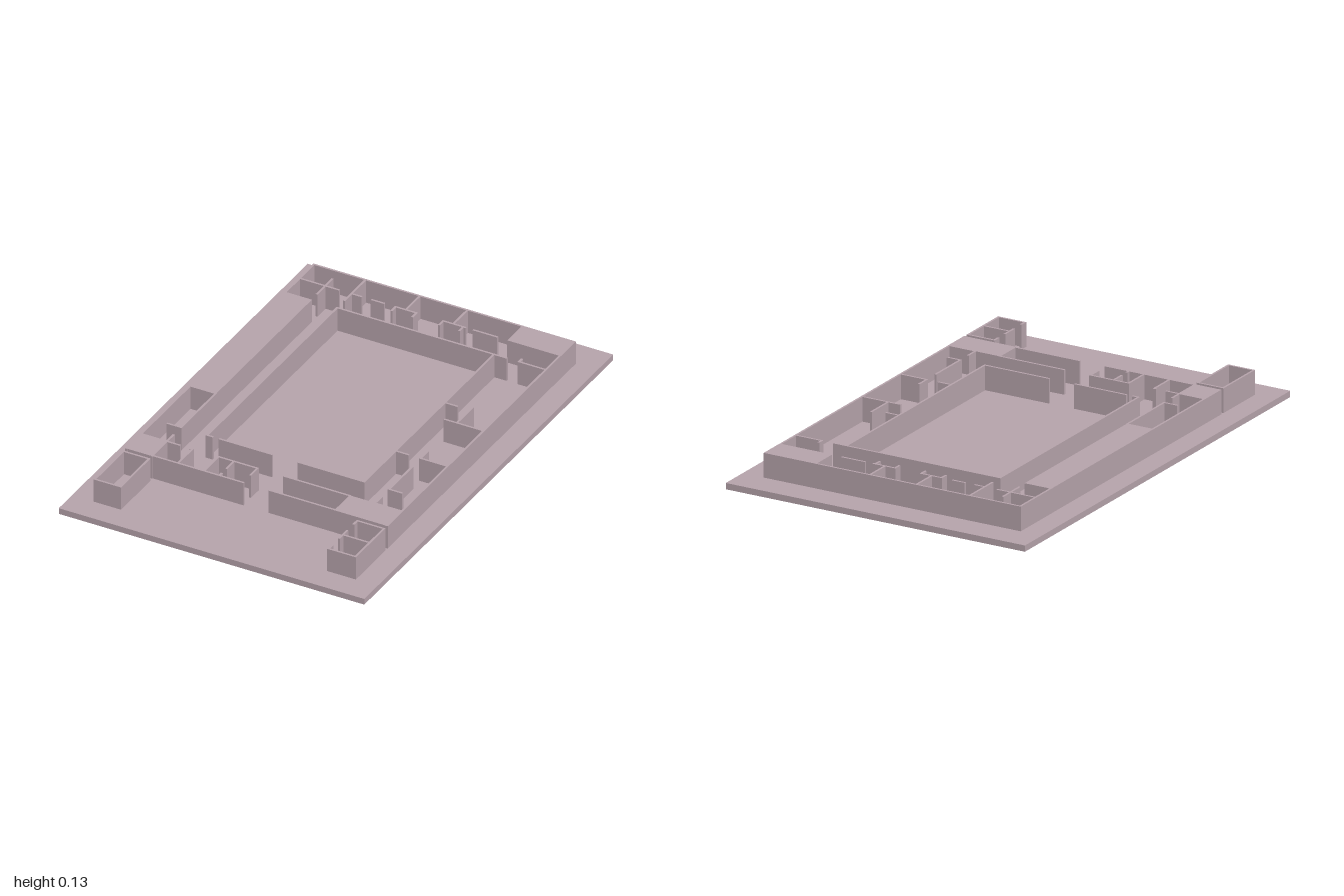
import * as THREE from 'three';

const BASE = 0.026, TOP = 0.128, T = 0.009;

export function createModel() {
  const model = new THREE.Group();
  model.name = 'courtyardBuilding';
  const material = new THREE.MeshStandardMaterial({ color: 0xb8a5ad, flatShading: true });

  // Upright box from plan bounds
  const block = (parent, name, x0, x1, z0, z1, y0 = BASE, y1 = TOP) => {
    const mesh = new THREE.Mesh(new THREE.BoxGeometry(x1 - x0, y1 - y0, z1 - z0), material);
    mesh.position.set((x0 + x1) / 2, (y0 + y1) / 2, (z0 + z1) / 2);
    mesh.name = name;
    parent.add(mesh);
  };

  // Walls along x are [z, x0, x1]; walls along z are [x, z0, z1]
  const h = T / 2;
  const wing = (name, alongX, alongZ) => {
    const group = new THREE.Group();
    group.name = name;
    for (const [z, a, b] of alongX) block(group, 'crossWall', a - h, b + h, z - h, z + h);
    for (const [x, a, b] of alongZ) block(group, 'longWall', x - h, x + h, a - h, b + h);
    model.add(group);
  };

  // Ground slab
  block(model, 'groundSlab', -0.675, 0.675, -1, 1, 0, BASE);

  // Closed roofed rooms
  block(model, 'westRoofedWing', -0.58, -0.46, -0.643, 0.13);
  block(model, 'backCornerRoom', 0.343, 0.58, -0.873, -0.752);
  block(model, 'frontLeftCornerRoom', -0.58, -0.46, 0.515, 0.638);
  block(model, 'frontRightCornerRoom', 0.343, 0.58, 0.515, 0.638);

  // Walls round the central court
  wing('courtyardWalls',
    [[-0.64, -0.347, 0.40], [0.403, -0.347, -0.325], [0.403, -0.29, -0.063], [0.403, 0.058, 0.346]],
    [[-0.347, -0.64, 0.403], [0.346, -0.64, 0.403]]);

  // Row of rooms at the back
  wing('backRooms',
    [[-0.869, -0.576, 0.343], [-0.755, -0.576, -0.405], [-0.755, -0.347, -0.305],
      [-0.755, -0.255, -0.205], [-0.755, -0.152, -0.06], [-0.755, 0.058, 0.155], [-0.755, 0.195, 0.295]],
    [[-0.576, -0.869, -0.64], [-0.463, -0.81, -0.69], [-0.347, -0.869, -0.70],
      [-0.107, -0.869, -0.755], [0.103, -0.869, -0.755],
      ...[-0.152, -0.06, 0.058, 0.147].map(x => [x, -0.755, -0.725])]);

  // Rooms along the +x side
  wing('eastRooms',
    [[-0.64, 0.457, 0.575], [-0.245, 0.346, 0.40], [-0.14, 0.405, 0.575], [0.15, 0.346, 0.40],
      [0.15, 0.457, 0.575], [0.403, 0.457, 0.512], [0.517, 0.457, 0.575]],
    [[0.575, -0.755, 0.635], [0.457, -0.66, -0.64], [0.457, -0.265, -0.14],
      [0.457, 0.095, 0.15], [0.457, 0.22, 0.403], [0.457, 0.465, 0.517]]);

  // Rooms along the -x side
  wing('westRooms',
    [[0.403, -0.52, -0.463], [0.517, -0.576, -0.408]],
    [[-0.576, 0.127, 0.635], [-0.463, 0.127, 0.403], [-0.463, 0.465, 0.635]]);

  // Rooms either side of the front entrance
  wing('frontRooms',
    [[0.633, -0.576, -0.063], [0.517, -0.235, -0.063], [0.517, -0.357, -0.35],
      [0.633, 0.058, 0.346], [0.517, 0.058, 0.346]],
    [[-0.35, 0.517, 0.633], [-0.235, 0.517, 0.633], [-0.167, 0.517, 0.575],
      [-0.167, 0.617, 0.633], [-0.063, 0.517, 0.572]]);

  // Detached rooms at the front corners
  wing('frontLeftAnnex',
    [[0.66, -0.576, -0.463], [0.889, -0.576, -0.463]],
    [[-0.576, 0.66, 0.889], [-0.463, 0.66, 0.889]]);
  wing('frontRightAnnex',
    [[0.66, 0.457, 0.575], [0.775, 0.457, 0.575], [0.889, 0.457, 0.575]],
    [[0.575, 0.66, 0.889], [0.457, 0.66, 0.687], [0.457, 0.742, 0.803], [0.457, 0.863, 0.889]]);

  return model;
}
